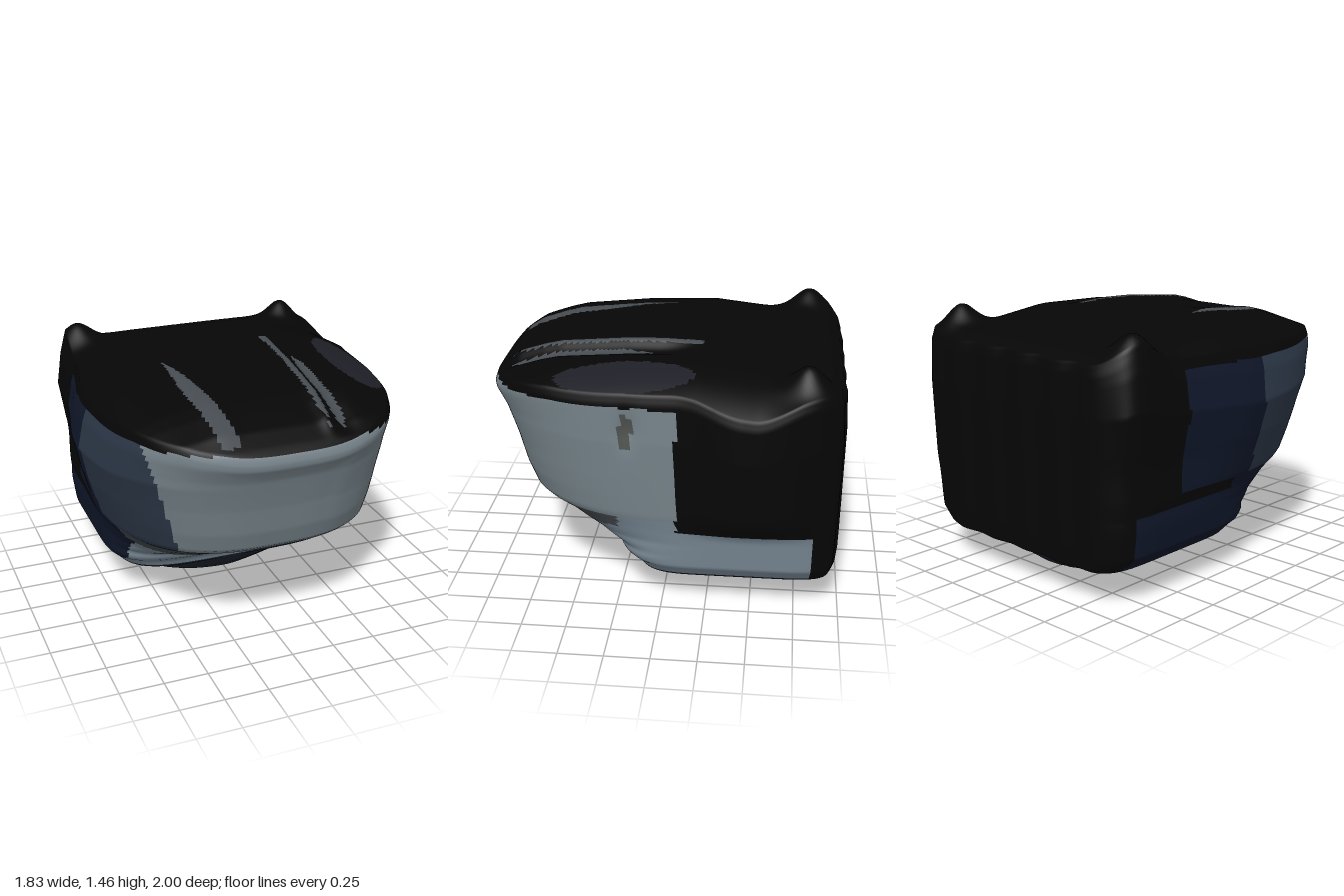
import * as THREE from 'three';

const AROUND = 280, ZC = -0.3;

// Piecewise-linear profile lookup
function lookup(pts, t) {
  if (t <= pts[0][0]) return pts[0][1];
  for (let i = 1; i < pts.length; i++) {
    const [a, va] = pts[i - 1], [b, vb] = pts[i];
    if (t <= b) return va + (vb - va) * (t - a) / (b - a);
  }
  return pts[pts.length - 1][1];
}
const bell = (d, w) => Math.exp(-(d * d) / (w * w));
const smooth = (t, a, b) => THREE.MathUtils.smoothstep(t, a, b);

// Profiles by height: front and back reach, half widths and front squareness of each side
const FRONT = [[0.2, 0.17], [0.25, 0.19], [0.3, 0.26], [0.35, 0.29], [0.38, 0.37], [0.42, 0.49], [0.48, 0.6],
  [0.53, 0.68], [0.57, 0.77], [0.6, 0.81], [0.7, 0.85], [0.85, 0.885], [1.05, 0.945], [1.17, 0.995], [1.21, 1.0], [1.24, 0.985]];
const BACK = [[0.2, -0.975], [0.3, -0.985], [0.6, -0.99], [1, -0.995], [1.2, -0.985], [1.24, -0.97]];
const HALF_NEG = [[0.2, 0.68], [0.28, 0.755], [0.5, 0.785], [0.6, 0.82], [0.8, 0.88], [1, 0.92], [1.15, 0.89], [1.24, 0.85]];
const HALF_POS = [[0.2, 0.71], [0.28, 0.77], [0.5, 0.79], [0.6, 0.805], [1, 0.825], [1.2, 0.82], [1.24, 0.805]];
const SQUARE_NEG = [[0.2, 4], [0.32, 4], [0.42, 2.7], [0.57, 2.8], [0.8, 2.85], [1.1, 3], [1.24, 3.1]];
const SQUARE_POS = [[0.2, 4.5], [0.32, 4.5], [0.42, 2.8], [0.57, 2.7], [0.8, 2.95], [1.24, 3.25]];
const ROOF = [[-1, 1.29], [-0.9, 1.34], [-0.75, 1.375], [-0.6, 1.395], [-0.2, 1.44], [0.2, 1.425], [0.6, 1.385],
  [0.7, 1.36], [0.85, 1.31], [0.95, 1.25], [1, 1.205]];
const BELLY = [[-0.97, 0.2], [-0.87, 0.16], [-0.82, 0.1], [-0.75, 0.05], [-0.6, 0.075], [-0.4, 0.075], [-0.3, 0.025],
  [-0.17, 0], [-0.02, 0.03], [0.1, 0.12], [0.17, 0.2]];

const ridgeX = z => 0.285 - 0.06 * z;

// Roof height, with two lengthwise ridges and two rear corner knobs
function roofY(x, z) {
  const along = smooth(z, -0.3, 0.05) * (1 - smooth(z, 0.82, 0.97));
  const rear = 1 - smooth(z, -0.9, -0.5);
  return lookup(ROOF, z) - Math.pow(Math.abs(x) / 0.85, 4) * (0.14 - 0.11 * rear)
    + along * (0.025 * bell(x - ridgeX(z), 0.04) - 0.03 * bell(x - ridgeX(z) - 0.09, 0.06) + 0.012 * bell(x + 0.36, 0.08))
    + 0.115 * (bell(x + 0.69, 0.12) * bell(z + 0.79, 0.12) + bell(x - 0.67, 0.1) * bell(z + 0.78, 0.11));
}
const bellyY = (x, z) => Math.min(0.2,
  lookup(BELLY, z) + 0.2 * (x > 0 ? Math.pow(x / 0.72, 1.4) : Math.pow(-x / 0.68, 2.1)));

// One point of the plan outline at a given height
function outline(y, angle) {
  const c = Math.cos(angle), s = Math.sin(angle), left = c > 0;
  const n = s > 0 ? lookup(left ? SQUARE_POS : SQUARE_NEG, y) : 8;
  const r = Math.pow(Math.abs(c) ** n + Math.abs(s) ** n, -1 / n);
  let z = ZC + r * s * (s > 0 ? lookup(FRONT, y) - ZC : ZC - lookup(BACK, y));
  let x = r * c * lookup(left ? HALF_POS : HALF_NEG, y);
  if (left) {
    // rear side bulge and a small dent in the side panel
    x += 0.09 * (1 - smooth(z, -0.45, -0.06)) * smooth(z, -1.0, -0.5) * smooth(y, 0.45, 0.65);
    x -= 0.025 * bell(y - 1.05, 0.09) * bell(z - 0.17, 0.05);
  } else {
    x *= 1 - 0.1 * (1 - smooth(z, -0.6, 0)) * smooth(y, 0.4, 0.8);
  }
  // shallow upright ribs across the back
  z += 0.007 * Math.sin(x * 24) * smooth(-z, 0.8, 0.95);
  return [x, z];
}

// Rows run from the belly centre, up the walls, to the roof centre
function makeRows() {
  const rows = [];
  for (let i = 0; i < 36; i++) rows.push({ kind: 'belly', scale: i / 36, y: 0.2 });
  for (let i = 0; i <= 78; i++) rows.push({ kind: 'wall', scale: 1, y: 0.2 + 1.04 * i / 78 });
  for (let i = 1; i <= 80; i++) rows.push({ kind: 'roof', scale: 1 - i / 80, y: 1.24 });
  return rows;
}

function rowPoint(row, angle) {
  let [x, z] = outline(row.y, angle);
  x *= row.scale;
  z = ZC + (z - ZC) * row.scale;
  let y = row.y;
  if (row.kind === 'belly') y = bellyY(x, z);
  else if (row.kind === 'roof') y = roofY(x, z);
  else if (y > 0.58) y = 0.58 + (y - 0.58) * (roofY(x, z) - 0.58) / 0.66;
  return [x, y, z];
}

// Which coloured part a patch belongs to
function partAt(kind, x, y, z) {
  if (kind === 'belly') return z < -0.93 ? 'shell' : 'underside';
  if (kind === 'roof') {
    const d = x - ridgeX(z), fade = 1 - smooth(z, 0.75, 0.92);
    if (z > -0.2 && Math.abs(d) < 0.022 * fade) return 'roofRidges';
    if (z > 0 && Math.abs(d - 0.09) < 0.03 * smooth(z, 0, 0.3) * fade) return 'roofRidges';
    if (z > -0.1 && z < 0.92 && Math.abs(x + 0.4 - 0.08 * z) < 0.055 * smooth(z, -0.1, 0.5)) return 'roofRidges';
    return Math.hypot((x - 0.66) / 0.13, (z - 0.2) / 0.38) < 1 ? 'roofTint' : 'shell';
  }
  if (z < -0.84) return 'shell';
  if (y < 0.22) return 'underside';
  if (y > 0.575) {
    if (y > 1.245 || (x > 0 && z < -0.09) || z < -0.5) return 'shell';
    if (x < 0 && z < 0.05) return 'sideRear';
    if (x > 0 && Math.hypot((y - 1.1) / 0.11, (z - 0.18) / 0.035) < 1) return 'panelDent';
    return x < -0.54 - 0.3 * (y - 0.575) ? 'sideCheek' : 'visor';
  }
  if (z > 0.24 && y > 0.37 + 0.25 * x * x) return 'visorUnderside';
  if (y > 0.5 && z < -0.09) return 'shell';
  return x < -0.68 ? 'sideRear' : 'jaw';
}

const COLORS = {
  shell: 0x060606, visor: 0x76838a, sideCheek: 0x2c3747, sideRear: 0x10172a, visorUnderside: 0x42484d,
  jaw: 0x768692, underside: 0x1c222c, roofRidges: 0x454b50, roofTint: 0x1e1e26, panelDent: 0x50534f,
};

export function createModel() {
  const group = new THREE.Group();
  group.name = 'blockyHead';
  const rows = makeRows(), pos = [], all = [], parts = {};
  for (const row of rows)
    for (let i = 0; i < AROUND; i++) pos.push(...rowPoint(row, i / AROUND * Math.PI * 2));

  for (let r = 0; r < rows.length - 1; r++) {
    const kind = rows[r + 1].kind === 'roof' ? 'roof' : rows[r].kind;
    for (let i = 0; i < AROUND; i++) {
      const j = (i + 1) % AROUND, a = r * AROUND, b = a + AROUND;
      const mid = k => (pos[(a + i) * 3 + k] + pos[(b + j) * 3 + k]) / 2;
      const tris = [];
      if (r > 0) tris.push(a + i, b + i, a + j);
      if (r < rows.length - 2) tris.push(a + j, b + i, b + j);
      (parts[partAt(kind, mid(0), mid(1), mid(2))] ??= []).push(...tris);
      all.push(...tris);
    }
  }

  // Shared smooth normals keep the joins between parts seamless
  const whole = new THREE.BufferGeometry();
  whole.setAttribute('position', new THREE.Float32BufferAttribute(pos, 3));
  whole.setIndex(all);
  whole.computeVertexNormals();
  for (const [name, index] of Object.entries(parts)) {
    const geo = new THREE.BufferGeometry();
    geo.setAttribute('position', whole.attributes.position);
    geo.setAttribute('normal', whole.attributes.normal);
    geo.setIndex(index);
    const mesh = new THREE.Mesh(geo, new THREE.MeshStandardMaterial({ color: COLORS[name] }));
    mesh.name = name;
    group.add(mesh);
  }
  return group;
}
